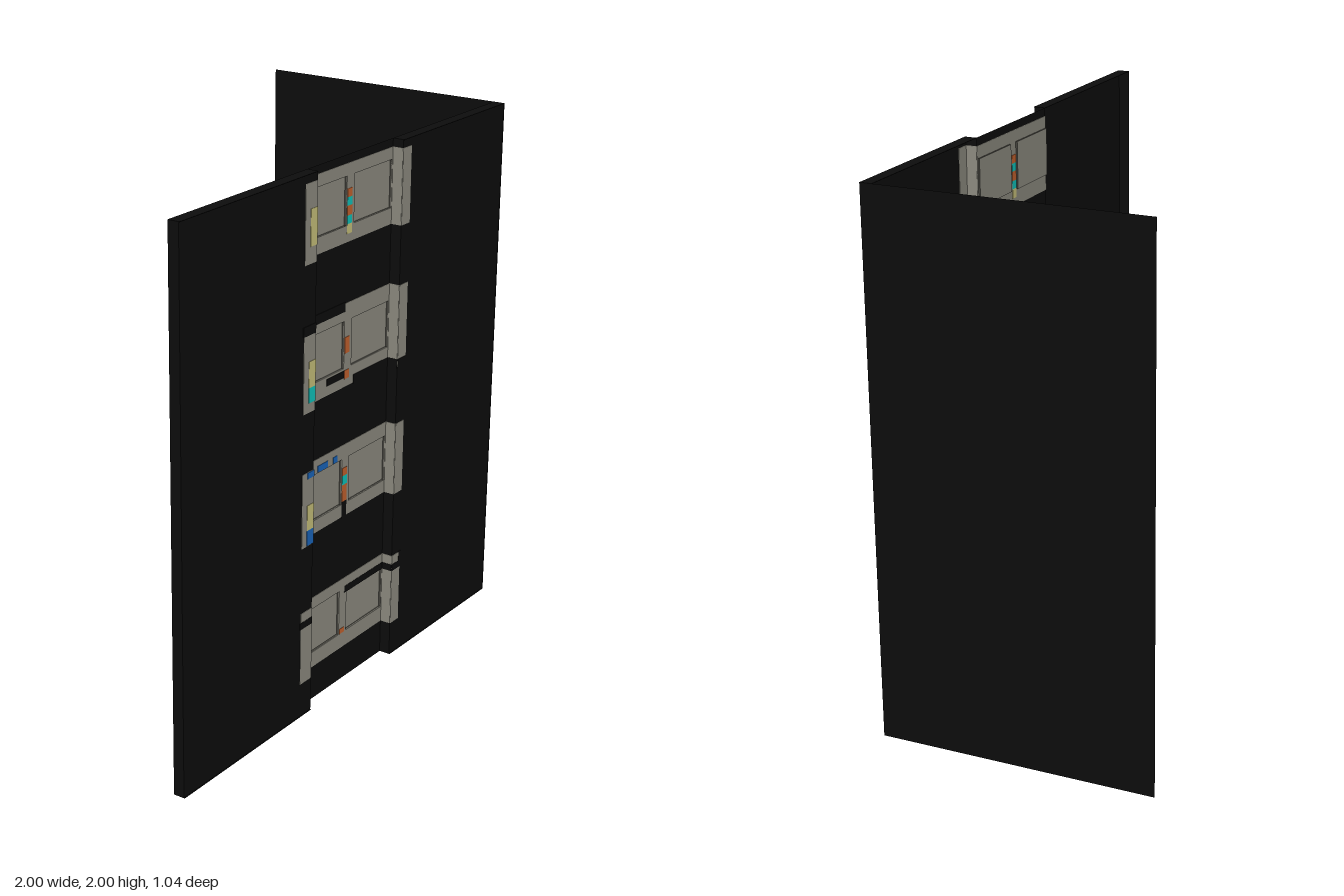
import * as THREE from 'three';

const mat = (name, color) =>
  new THREE.MeshStandardMaterial({ name, color, side: THREE.DoubleSide });

// Layout: two outer wall faces with a shallow bay between them
const BAY_L = -0.245, BAY_R = 0.29;
const FACE_Z = 0.517, BAY_Z = 0.475, PANE_Z = 0.467;
const FLOORS = [0, 0.52, 1.04, 1.56];
const WINDOWS = [[BAY_L + 0.004, -0.003], [0.045, BAY_R - 0.004]];
const SILL = 0.19, HEAD = 0.365;

export function createModel() {
  const group = new THREE.Group();
  const black = mat('wallBlack', 0x0d0d0d);
  const grey = mat('panelGrey', 0x908e83);
  const trim = mat('recessGrey', 0x45443e);
  const yellow = mat('paleYellow', 0xcdc67e);
  const orange = mat('orange', 0xc8642f);
  const cyan = mat('cyan', 0x10c8c0);
  const blue = mat('blue', 0x1a68c0);

  const add = (name, geometry, material, x = 0, y = 0, z = 0) => {
    const m = new THREE.Mesh(geometry, material);
    m.name = name;
    m.position.set(x, y, z);
    group.add(m);
    return m;
  };
  // Box given by its limits
  const slab = (name, x0, x1, y0, y1, z0, z1, material) =>
    add(name, new THREE.BoxGeometry(x1 - x0, y1 - y0, z1 - z0), material,
      (x0 + x1) / 2, (y0 + y1) / 2, (z0 + z1) / 2);

  const rectPath = (P, x0, x1, y0, y1) => {
    const p = new P();
    p.moveTo(x0, y0);
    p.lineTo(x1, y0);
    p.lineTo(x1, y1);
    p.lineTo(x0, y1);
    p.closePath();
    return p;
  };
  // Bay rectangle pierced by the windows of the given floors
  const pierced = (y0, y1, floors) => {
    const s = rectPath(THREE.Shape, BAY_L, BAY_R, y0, y1);
    for (const f of floors)
      for (const [a, b] of WINDOWS)
        s.holes.push(rectPath(THREE.Path, a, b, f + SILL, f + HEAD));
    return s;
  };

  // Thin plate showing on both sides of the wall, following the bay's step
  const paint = (name, x0, x1, y0, y1, material, t = 0.006, centre = true) => {
    const spans = [
      [x0, Math.min(x1, BAY_L), FACE_Z],
      [Math.max(x0, BAY_R), x1, FACE_Z],
    ];
    if (centre) spans.push([Math.max(x0, BAY_L), Math.min(x1, BAY_R), BAY_Z]);
    for (const [a, b, z] of spans)
      if (b - a > 0.008) slab(name, a, b, y0, y1, z - t / 2, z + t / 2, material);
    for (const j of [BAY_L, BAY_R])
      if (x0 < j && x1 > j)
        slab(name + 'Return', j - t / 2, j + t / 2, y0, y1, BAY_Z, FACE_Z, material);
  };

  // Outer wall faces with top and bottom flanges
  for (const [x0, x1] of [[-1, BAY_L], [BAY_R, 1]]) {
    const w = x1 - x0, cx = (x0 + x1) / 2;
    add('wallFace', new THREE.PlaneGeometry(w, 2), black, cx, 1, FACE_Z);
    for (const y of [0.001, 1.999])
      slab('wallFlange', x0, x1, y - 0.001, y + 0.001, BAY_Z, 0.52, black);
  }
  // Upright returns: the free end and both sides of the bay
  for (const x of [-1, BAY_L, BAY_R])
    add('wallReturn', new THREE.PlaneGeometry(FACE_Z - BAY_Z, 2), black,
      x, 1, (FACE_Z + BAY_Z) / 2).rotation.y = Math.PI / 2;
  // Side wall
  add('sideWall', new THREE.PlaneGeometry(1.04, 2), black, 1, 1, 0).rotation.y = Math.PI / 2;
  // Recessed bay
  add('bayWall', new THREE.ShapeGeometry(pierced(0, 2, FLOORS)), black, 0, 0, BAY_Z);

  // Grey panel of each floor with its two sunken windows
  const panels = [[0.13, 0.41], [0.66, 0.94], [1.16, 1.47], [1.69, 1.97]];
  panels.forEach(([y0, y1], i) => {
    const f = FLOORS[i];
    paint('floorPanel', -0.315, 0.345, y0, y1, grey, 0.003, false);
    add('bayPanel', new THREE.ExtrudeGeometry(pierced(y0, y1, [f]),
      { depth: 0.003, bevelEnabled: false }), grey, 0, 0, BAY_Z - 0.0015);
    for (const [a, b] of WINDOWS) {
      const s = f + SILL, h = f + HEAD, w = b - a, cx = (a + b) / 2;
      const cz = (PANE_Z + BAY_Z) / 2, d = BAY_Z - PANE_Z;
      add('windowPane', new THREE.PlaneGeometry(w, h - s), grey, cx, (s + h) / 2, PANE_Z);
      for (const y of [s, h])
        add('windowLedge', new THREE.PlaneGeometry(w, d), trim, cx, y, cz).rotation.x = -Math.PI / 2;
      for (const x of [a, b])
        add('windowJamb', new THREE.PlaneGeometry(d, h - s), trim, x, (s + h) / 2, cz).rotation.y = Math.PI / 2;
    }
  });

  // Black gaps in the panels
  for (const [x0, x1, y0, y1] of [
    [0.03, 0.35, 0.348, 0.374], [-0.32, -0.24, 0.348, 0.374],
    [0.335, 0.35, 0.374, 0.412], [0.0, 0.03, 0.655, 0.72],
    [-0.32, 0.0, 1.44, 1.475], [0.06, 0.35, 1.155, 1.19],
    [-0.11, 0.0, 1.195, 1.222],
  ]) paint('panelGap', x0, x1, y0, y1, black, 0.005);

  // Coloured marks on the centre post
  for (const [y0, y1, m] of [
    [1.85, 1.88, orange], [1.82, 1.85, cyan], [1.785, 1.82, orange],
    [1.755, 1.785, cyan], [1.72, 1.755, yellow],
    [1.285, 1.345, orange], [1.19, 1.222, orange],
    [0.82, 0.85, orange], [0.785, 0.82, cyan], [0.72, 0.785, orange],
    [0.19, 0.21, orange],
  ]) paint('postMark', 0.0, 0.03, y0, y1, m);

  // Coloured marks beside the bay, wrapping onto its return
  for (const [y0, y1, m] of [
    [1.75, 1.88, yellow], [1.25, 1.345, yellow], [1.195, 1.25, cyan],
    [0.72, 0.815, yellow], [0.662, 0.72, blue], [0.915, 0.938, blue],
  ]) paint('edgeMark', -0.285, -0.24, y0, y1, m);

  // Blue dashes above the second-floor window
  for (const [x0, x1] of [[-0.22, -0.19], [-0.16, -0.095], [-0.06, -0.035]])
    paint('blueDash', x0, x1, 0.888, 0.912, blue);

  return group;
}
